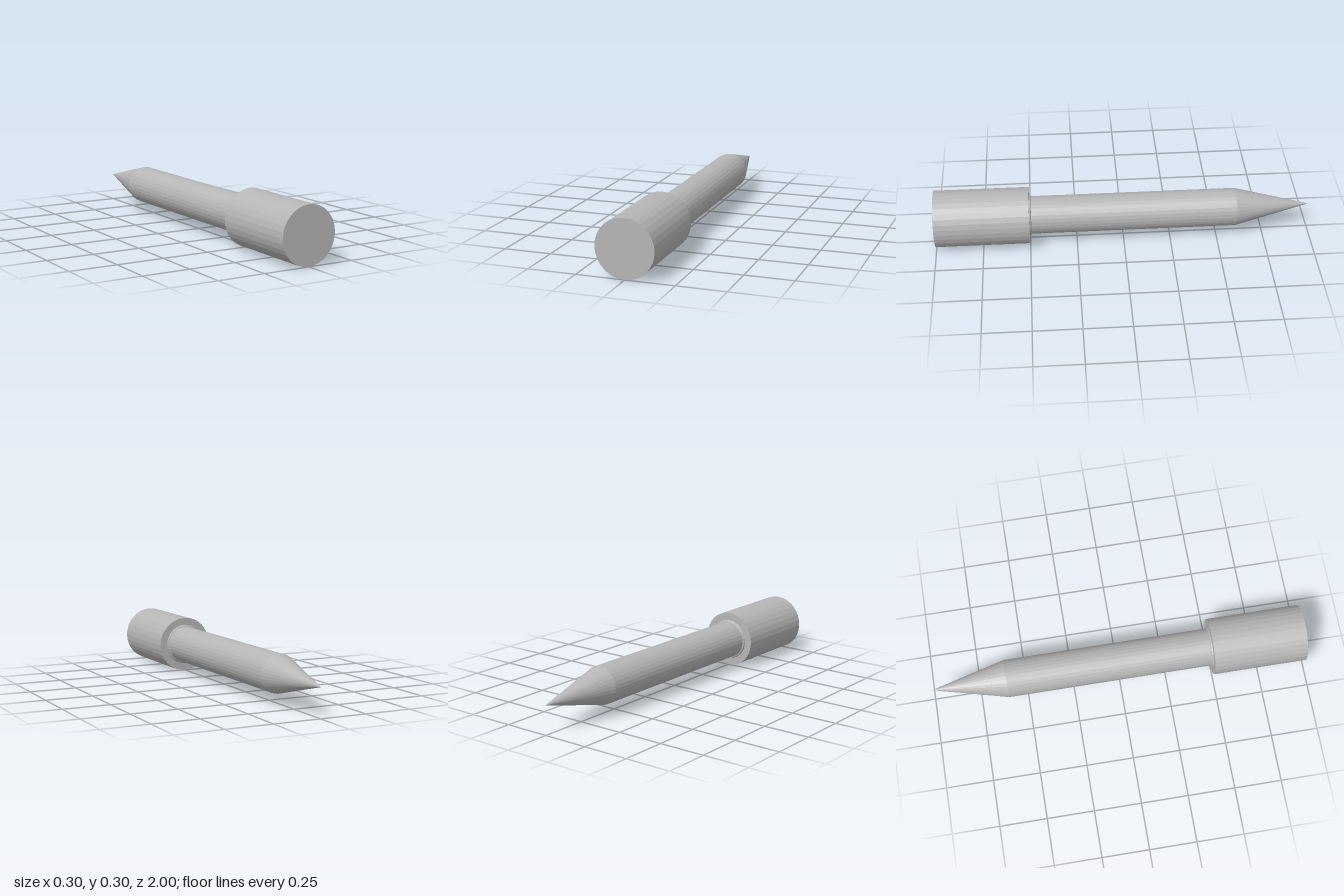
import * as THREE from 'three';

const SIDES = 32;
const AXIS_Y = 0.15;

export function createModel() {
  const group = new THREE.Group();
  group.name = 'spike';

  const grey = new THREE.MeshStandardMaterial({ color: 0xb6b6b6 });
  grey.name = 'grey';
  grey.flatShading = true;

  // Places a part on the long axis, centred at z
  const add = (name, geometry, z) => {
    const mesh = new THREE.Mesh(geometry, grey);
    mesh.name = name;
    mesh.position.set(0, AXIS_Y, z);
    group.add(mesh);
  };

  // Cylinder or cone lying along z, with its top end towards -z
  const rod = (rTop, rBottom, length) =>
    new THREE.CylinderGeometry(rTop, rBottom, length, SIDES).rotateX(-Math.PI / 2);

  // Thick head at the front
  add('head', rod(0.15, 0.15, 0.5), 0.75);

  // Slim shaft
  add('shaft', rod(0.1, 0.1, 1.1), -0.05);

  // Bead where the shaft enters the head
  add('collarRing', new THREE.TorusGeometry(0.1, 0.01, 8, SIDES), 0.5);

  // Pointed tip at the back
  add('tip', new THREE.ConeGeometry(0.1, 0.4, SIDES).rotateX(-Math.PI / 2), -0.8);

  return group;
}
